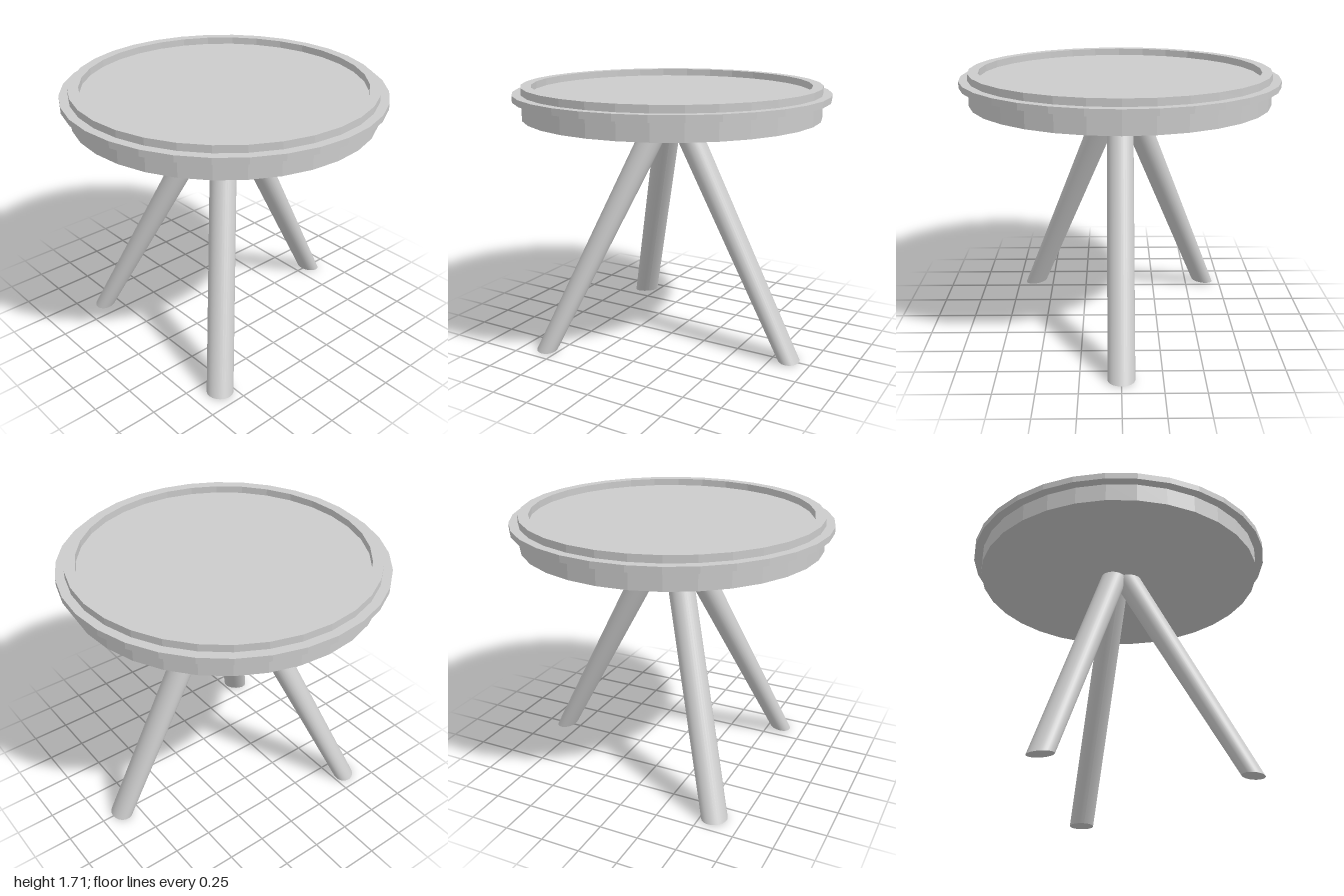
import * as THREE from 'three';

const flat = new THREE.MeshStandardMaterial({ color: 0xcccccc, flatShading: true });
const smooth = new THREE.MeshStandardMaterial({ color: 0xcccccc });

// Faceted 32-sided ring or disc from a profile of [radius, height] pairs
function turned(name, profile) {
  const points = profile.map(([r, y]) => new THREE.Vector2(r, y));
  const mesh = new THREE.Mesh(new THREE.LatheGeometry(points, 32), flat);
  mesh.name = name;
  return mesh;
}

// Splayed leg leaning out along +z; its section is an ellipse, narrower towards the foot
function legGeometry() {
  const height = 1.53;
  const geo = new THREE.CylinderGeometry(1, 1, 1, 32, 1, false, Math.PI);
  const pos = geo.attributes.position;
  for (let i = 0; i < pos.count; i++) {
    const t = pos.getY(i) + 0.5;
    const x = pos.getX(i), z = pos.getZ(i);
    const reach = THREE.MathUtils.lerp(0.857, 0.055, t);
    const depth = THREE.MathUtils.lerp(0.0675, 0.095, t);
    const footTilt = (1 - t) * 0.005 * (1 - z);
    pos.setXYZ(i, x * 0.083, t * height + footTilt, reach + z * depth);
  }
  geo.computeVertexNormals();
  return geo;
}

export function createModel() {
  const model = new THREE.Group();
  model.name = 'roundTable';

  // Tabletop: drum, projecting band and raised lip around a sunken surface
  const top = new THREE.Group();
  top.name = 'tabletop';
  top.add(
    turned('drum', [[0, 1.51], [0.945, 1.51], [0.945, 1.625]]),
    turned('edgeBand', [[0.945, 1.625], [1, 1.625], [1, 1.665], [0.945, 1.665]]),
    turned('raisedLip', [[0.945, 1.665], [0.945, 1.71], [0.88, 1.71], [0.88, 1.665]]),
    turned('surface', [[0.88, 1.665], [0, 1.665]])
  );
  model.add(top);

  // Three legs: one straight back, two towards the front corners
  const geo = legGeometry();
  const front = THREE.MathUtils.degToRad(47);
  for (const [name, angle] of [['backLeg', Math.PI], ['frontLeftLeg', front], ['frontRightLeg', -front]]) {
    const leg = new THREE.Mesh(geo, smooth);
    leg.name = name;
    leg.rotation.y = angle;
    model.add(leg);
  }
  return model;
}
